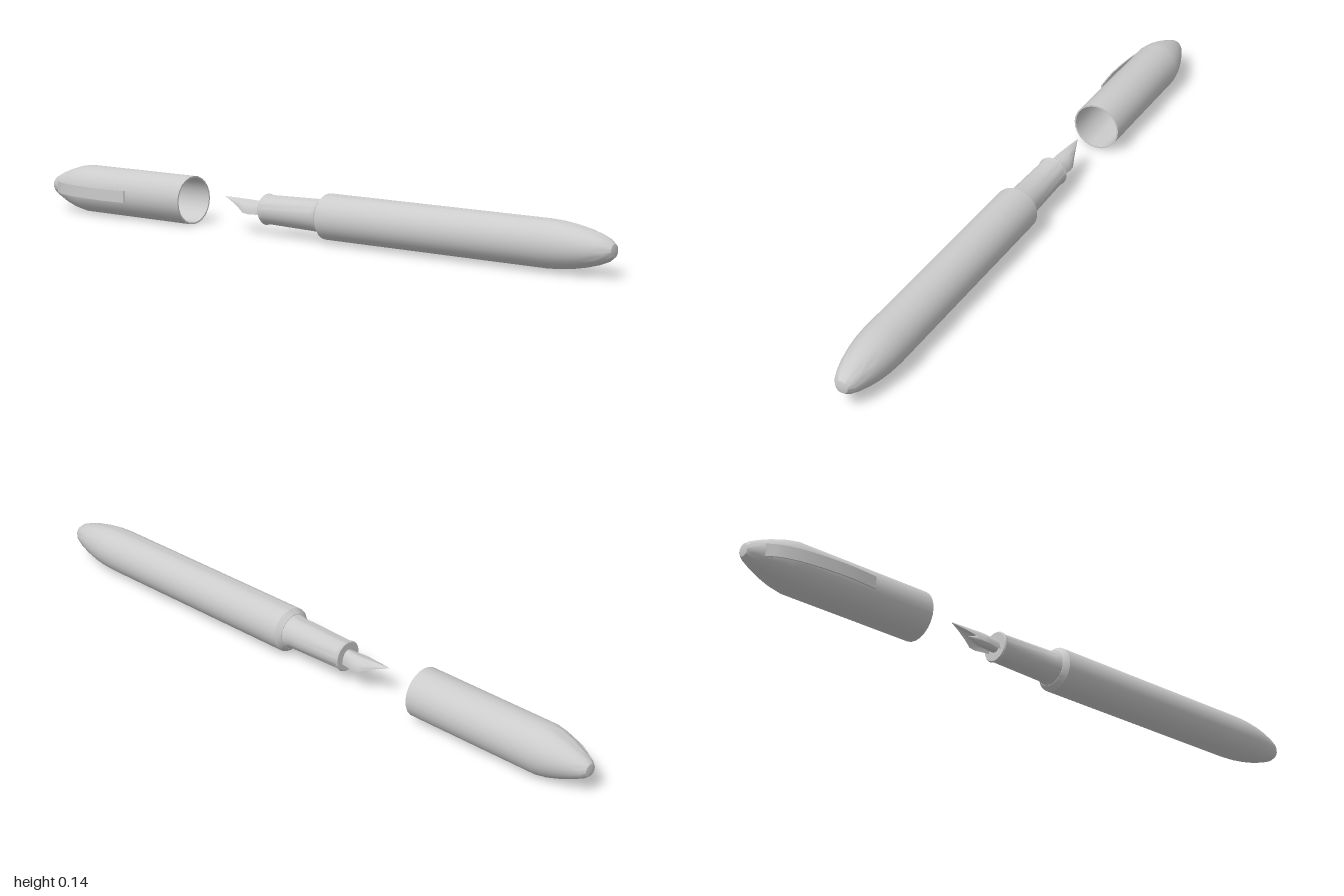
import * as THREE from 'three';
import { toCreasedNormals } from 'three/addons/utils/BufferGeometryUtils.js';

const CY = 0.0735, CZ = -0.008; // pen axis
const material = new THREE.MeshStandardMaterial({ color: 0xcccccc, side: THREE.DoubleSide });

function addMesh(group, name, geometry, crease = 0.6) {
  const mesh = new THREE.Mesh(toCreasedNormals(geometry, crease), material);
  mesh.name = name;
  group.add(mesh);
  return mesh;
}

// Turned part along x from [x, radius] pairs, listed from -x to +x on the outside
function turned(profile, sides = 24) {
  const points = profile.map(([x, r]) => new THREE.Vector2(r, x));
  return new THREE.LatheGeometry(points, sides).rotateZ(-Math.PI / 2).translate(0, CY, CZ);
}

// Surface through equal-length rows of points
function loft(rows, closed = false) {
  const n = rows[0].length, index = [];
  for (let i = 0; i < rows.length - 1; i++) {
    for (let j = 0; j < (closed ? n : n - 1); j++) {
      const a = i * n + j, b = i * n + (j + 1) % n;
      index.push(a, b, a + n, b, b + n, a + n);
    }
  }
  const geometry = new THREE.BufferGeometry();
  geometry.setAttribute('position', new THREE.Float32BufferAttribute(rows.flat(2), 3));
  geometry.setIndex(index);
  geometry.computeVertexNormals();
  return geometry;
}

export function createModel() {
  const pen = new THREE.Group();
  pen.name = 'fountainPen';

  // Barrel with chamfered mouth and bullet end
  addMesh(pen, 'barrel', turned([
    [0.06, 0], [0.06, 0.052], [0.075, 0.065], [0.8, 0.065], [0.84, 0.063], [0.88, 0.058],
    [0.92, 0.05], [0.955, 0.04], [0.98, 0.03], [0.995, 0.018], [1, 0],
  ], 32));

  // Grip section with a small lip at the nib end
  addMesh(pen, 'grip', turned([
    [-0.15, 0], [-0.15, 0.042], [-0.146, 0.045], [-0.135, 0.042], [0.04, 0.046], [0.065, 0.052],
  ], 32));

  // Feed below the nib
  addMesh(pen, 'feed', turned([
    [-0.25, 0], [-0.21, 0.014], [-0.15, 0.018], [-0.14, 0.018],
  ], 16));

  // Nib: arched sheet narrowing to a point, [x, half width, edge height, crown height]
  const nibRows = [
    [-0.305, 0.001, 0.096, 0.097], [-0.27, 0.012, 0.085, 0.097], [-0.24, 0.022, 0.073, 0.096],
    [-0.215, 0.031, 0.06, 0.096], [-0.195, 0.032, 0.058, 0.095], [-0.17, 0.026, 0.058, 0.095],
    [-0.145, 0.023, 0.058, 0.095],
  ].map(([x, w, low, high]) => Array.from({ length: 13 }, (_, j) => {
    const a = Math.PI * j / 12;
    return [x, low + (high - low) * Math.sin(a), CZ + w * Math.cos(a)];
  }));
  addMesh(pen, 'nib', loft(nibRows), 1);

  // Hollow cap, open toward the nib
  addMesh(pen, 'cap', turned([
    [-1, 0], [-0.996, 0.018], [-0.985, 0.027], [-0.96, 0.039], [-0.925, 0.053], [-0.885, 0.065],
    [-0.85, 0.071], [-0.43, 0.0715], [-0.43, 0.067], [-0.85, 0.066], [-0.95, 0.035], [-0.96, 0],
  ]));

  // Pocket clip: thin bowed strip rising from the cap end, free at the other end
  const clipCurve = new THREE.CatmullRomCurve3([
    [-0.955, 0.03], [-0.92, 0.051], [-0.86, 0.068], [-0.78, 0.077], [-0.71, 0.079], [-0.635, 0.074],
  ].map(([x, z]) => new THREE.Vector3(x, CY, z)));
  const clipRows = clipCurve.getPoints(20).map(({ x, y, z }) => [
    [x, y - 0.0175, z - 0.002], [x, y + 0.0175, z - 0.002],
    [x, y + 0.0175, z + 0.002], [x, y - 0.0175, z + 0.002],
  ]);
  // Collapsed end rows close the strip
  const endCap = (row) => row.map(() => [row[0][0], CY, (row[0][2] + row[2][2]) / 2]);
  addMesh(pen, 'clip', loft([endCap(clipRows[0]), ...clipRows, endCap(clipRows.at(-1))], true));

  return pen;
}
